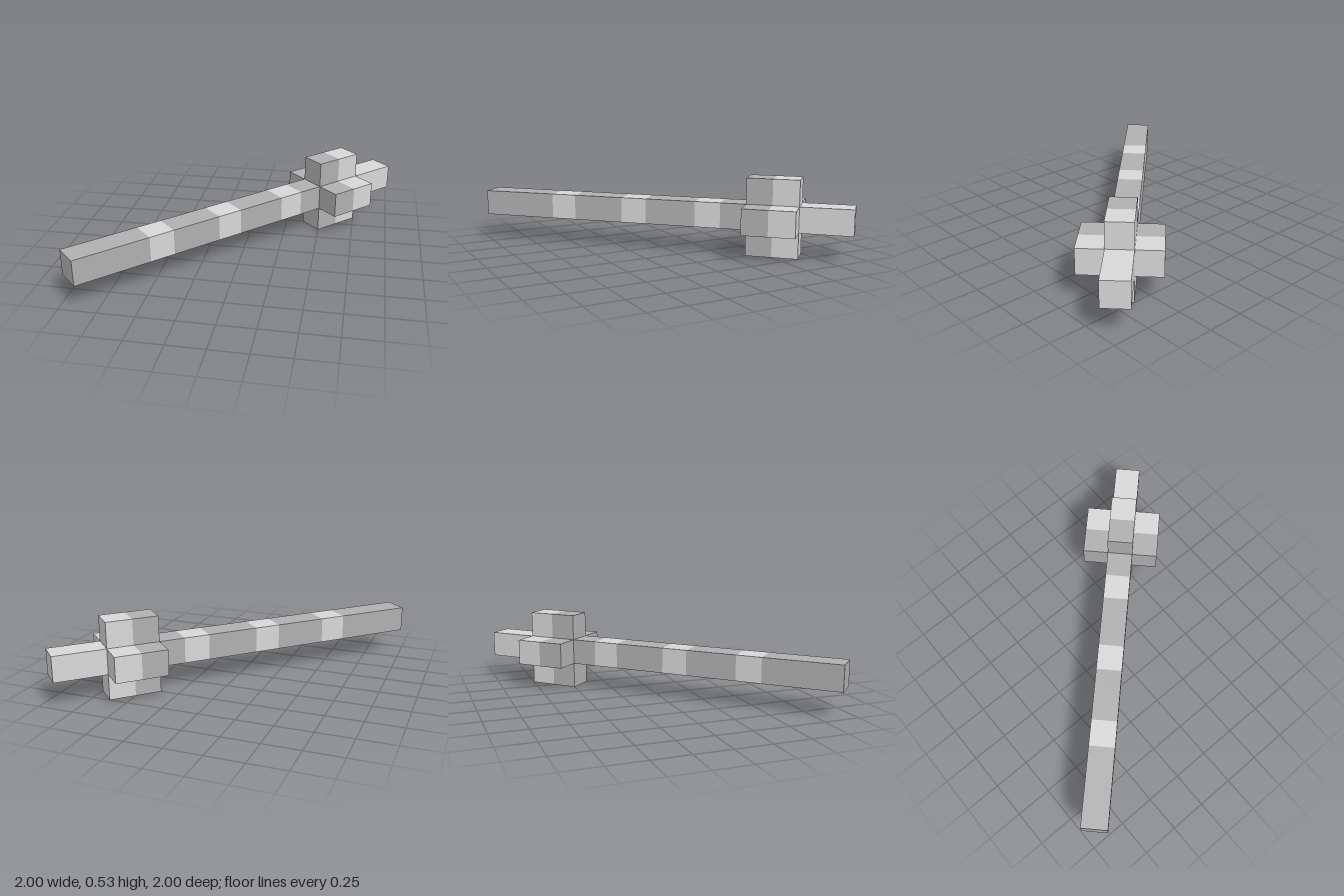
import * as THREE from 'three';

// One grid unit: the thickness of the square rod
const U = 0.125 * Math.SQRT2;

export function createModel() {
  const model = new THREE.Group();
  model.name = 'bandedRod';

  const lightGrey = new THREE.MeshStandardMaterial({ color: 0xd8d8d8 });
  lightGrey.name = 'light grey';
  const darkGrey = new THREE.MeshStandardMaterial({ color: 0xb0b0b0 });
  darkGrey.name = 'dark grey';

  // Unit-thick block running from a to b along the rod, offset by y and z
  function block(parent, name, a, b, y, z, material) {
    const mesh = new THREE.Mesh(new THREE.BoxGeometry((b - a) * U, U, U), material);
    mesh.position.set(((a + b) / 2) * U, y * U, z * U);
    mesh.name = name;
    parent.add(mesh);
  }

  // Rod of alternating bands, ending in a light tip
  const rod = new THREE.Group();
  rod.name = 'rod';
  const stops = [-7.5, -4.5, -3.5, -1.5, -0.5, 1.5, 2.5, 4.5, 7.5];
  for (let i = 0; i < stops.length - 1; i++) {
    const light = i % 2 === 1;
    block(rod, light ? 'lightBand' : 'darkBand', stops[i], stops[i + 1], 0, 0, light ? lightGrey : darkGrey);
  }

  // Four head lobes around the rod, each half dark and half light
  const head = new THREE.Group();
  head.name = 'head';
  const lobes = { topLobe: [1, 0], bottomLobe: [-1, 0], leftLobe: [0, 1], rightLobe: [0, -1] };
  for (const [name, [y, z]] of Object.entries(lobes)) {
    const lobe = new THREE.Group();
    lobe.name = name;
    block(lobe, name + 'Dark', 3.5, 4.5, y, z, darkGrey);
    block(lobe, name + 'Light', 4.5, 5.5, y, z, lightGrey);
    head.add(lobe);
  }

  // Lay the rod along the diagonal, resting on its bottom lobe
  const body = new THREE.Group();
  body.name = 'body';
  body.add(rod, head);
  body.rotation.y = Math.PI / 4;
  body.position.y = 1.5 * U;
  model.add(body);
  return model;
}
